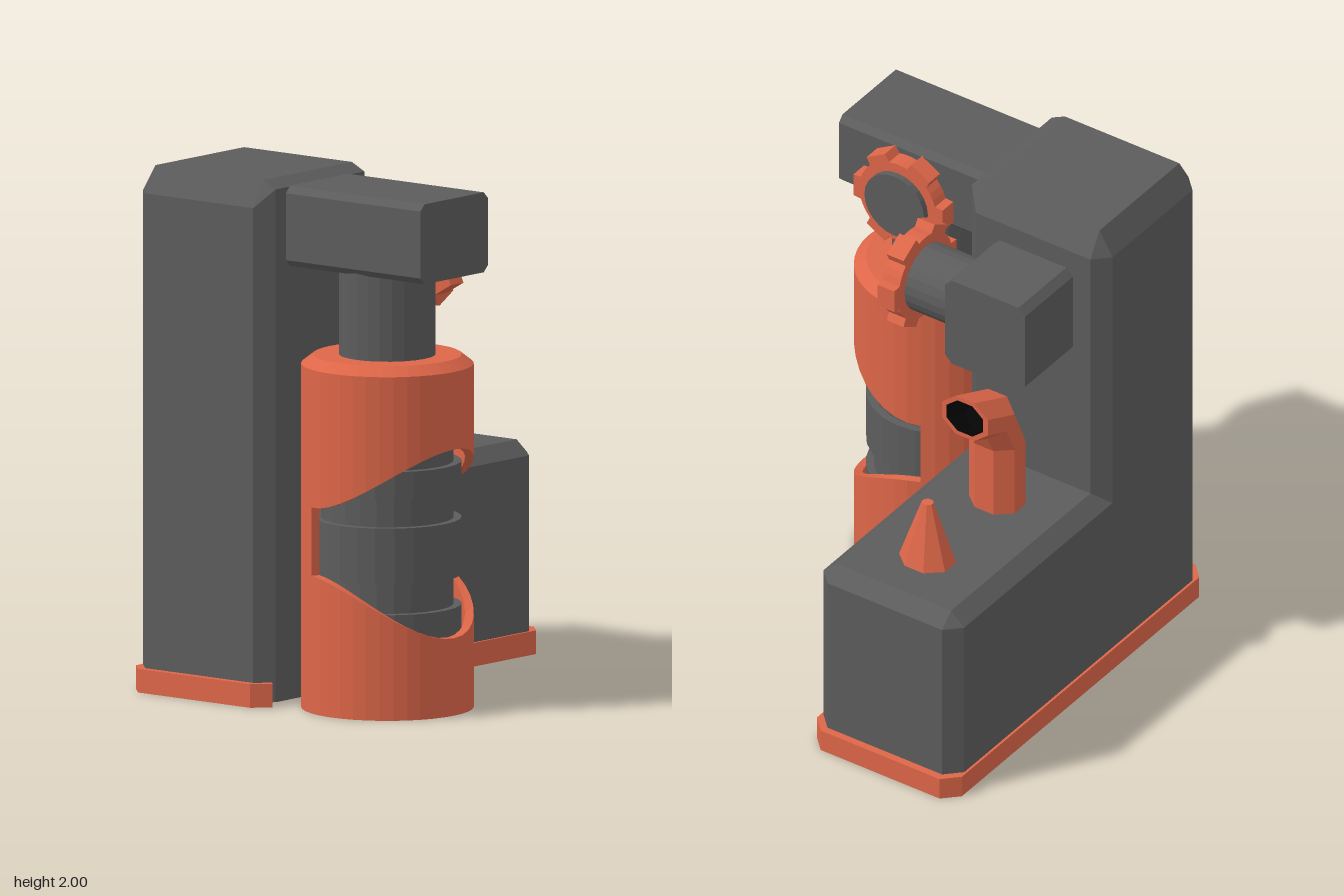
import * as THREE from 'three';

const mat = (color) => new THREE.MeshStandardMaterial({ color, flatShading: true, side: THREE.DoubleSide });
const GREY = mat(0x5c5c5c), ORANGE = mat(0xdd6648), DARK = mat(0x050505);

// Skin a list of equal-length rings of [x, y, z] points, with optional end caps
function loft(rings, capStart = true, capEnd = true) {
  const pos = [], n = rings[0].length, last = rings[rings.length - 1];
  for (let i = 0; i + 1 < rings.length; i++) {
    for (let k = 0; k < n; k++) {
      const a = rings[i][k], b = rings[i][(k + 1) % n];
      const c = rings[i + 1][(k + 1) % n], d = rings[i + 1][k];
      pos.push(...a, ...b, ...c, ...a, ...c, ...d);
    }
  }
  for (let k = 1; k + 1 < n; k++) {
    if (capStart) pos.push(...rings[0][0], ...rings[0][k + 1], ...rings[0][k]);
    if (capEnd) pos.push(...last[0], ...last[k], ...last[k + 1]);
  }
  const g = new THREE.BufferGeometry();
  g.setAttribute('position', new THREE.Float32BufferAttribute(pos, 3));
  g.computeVertexNormals();
  return g;
}

// Rectangle with cut corners, counterclockwise seen from above
const cutRect = (x0, x1, z0, z1, c) => [
  [x1, z1 - c], [x1, z0 + c], [x1 - c, z0], [x0 + c, z0],
  [x0, z0 + c], [x0, z1 - c], [x0 + c, z1], [x1 - c, z1]];

// Upright block with bevelled corners and top; the front bevel may start higher
function bevelBlock(x0, x1, z0, z1, bottom, shoulder, frontShoulder, top) {
  const c = 0.06, outer = cutRect(x0, x1, z0, z1, c);
  return loft([
    outer.map(([x, z]) => [x, bottom, z]),
    outer.map(([x, z]) => [x, z === z1 ? frontShoulder : shoulder, z]),
    cutRect(x0 + c, x1 - c, z0 + c, z1 - c, 0).map(([x, z]) => [x, top, z])]);
}

// Octagonal ring spanning from point a to point b in x/y, with half depth hz
function octRing([ax, ay], [bx, by], hz, z, s = 1) {
  return cutRect(-s, s, -s, s, 0.59 * s).map(([u, w]) => [
    (ax + bx) / 2 + u * (bx - ax) / 2, (ay + by) / 2 + u * (by - ay) / 2, z + w * hz]);
}

// Box with cut long edges, extruded along +z
function prism(w, h, c, depth) {
  const shape = new THREE.Shape(cutRect(-w / 2, w / 2, -h / 2, h / 2, c).map((p) => new THREE.Vector2(...p)));
  return new THREE.ExtrudeGeometry(shape, { depth, bevelEnabled: false });
}

// Six-toothed ring, extruded along +z
function gearGeometry(depth) {
  const pts = [], profile = [[-0.29, 0.177], [-0.23, 0.21], [0.23, 0.21], [0.29, 0.177], [0.44, 0.177], [0.6, 0.177]];
  for (let i = 0; i < 6; i++) {
    for (const [da, r] of profile) {
      const a = i * Math.PI / 3 + da;
      pts.push(new THREE.Vector2(r * Math.cos(a), r * Math.sin(a)));
    }
  }
  const shape = new THREE.Shape(pts);
  shape.holes.push(new THREE.Path().absarc(0, 0, 0.13, 0, Math.PI * 2, true));
  return new THREE.ExtrudeGeometry(shape, { depth, bevelEnabled: false, curveSegments: 12 });
}

export function createModel() {
  const model = new THREE.Group();
  const add = (name, geometry, material, x = 0, y = 0, z = 0, parent = model) => {
    const m = new THREE.Mesh(geometry, material);
    m.name = name;
    m.position.set(x, y, z);
    parent.add(m);
    return m;
  };

  // L-shaped body
  add('tower', bevelBlock(-0.81, -0.165, -0.645, 0, 0.015, 1.9, 1.97, 2), GREY);
  add('lowBody', bevelBlock(-0.81, 0.81, -0.645, 0, 0.015, 0.76, 0.76, 0.815), GREY);

  // Skirt around the foot, open where the barrel stands
  const path = [[-0.17, 0.01], [0.78, 0.01], [0.84, -0.05], [0.84, -0.595], [0.78, -0.655],
    [-0.78, -0.655], [-0.84, -0.595], [-0.84, -0.05], [-0.78, 0.01]];
  add('skirt', loft(path.map(([x, z]) => {
    const ix = x * 0.955, iz = -0.3225 + (z + 0.3225) * 0.9;
    return [[x, 0.09, z], [x, 0, z], [ix, 0, iz], [ix, 0.09, iz]];
  })), ORANGE);

  // Barrel with a wavy window cut in its front
  const cx = -0.49, cz = 0.33, R = 0.325, rIn = 0.292, midY = 0.655, edge = 1.95;
  const barrel = new THREE.Group();
  barrel.name = 'barrel';
  barrel.position.set(cx, 0, cz);
  model.add(barrel);
  const halfWindow = (t) => 0.13 + 0.115 * (1 + Math.cos(Math.PI * t / edge));
  const wall = (name, from, to, steps, lo, hi) => {
    const rings = [];
    for (let i = 0; i <= steps; i++) {
      const t = from + (to - from) * i / steps, s = Math.sin(t), c = Math.cos(t);
      rings.push([[R, hi(t)], [R, lo(t)], [rIn, lo(t)], [rIn, hi(t)]].map(([r, y]) => [r * s, y, r * c]));
    }
    add(name, loft(rings), ORANGE, 0, 0, 0, barrel);
  };
  wall('barrelLower', -edge, edge, 24, () => 0, (t) => midY - halfWindow(t));
  wall('barrelUpper', -edge, edge, 24, (t) => midY + halfWindow(t), () => 1.31);
  wall('barrelBack', edge, 2 * Math.PI - edge, 14, () => 0, () => 1.31);
  const lathe = (pts, seg) => new THREE.LatheGeometry(pts.map((p) => new THREE.Vector2(...p)), seg);
  add('barrelTop', lathe([[R, 1.31], [0.28, 1.345], [0.17, 1.345]], 40), ORANGE, 0, 0, 0, barrel);
  add('barrelBottomHole', new THREE.CircleGeometry(rIn, 40).rotateX(Math.PI / 2), DARK, 0, 0.01, 0, barrel);

  // Ribbed core seen through the window
  const core = [[0.25, 0.03], [0.25, 0.29], [0.28, 0.29], [0.28, 0.395], [0.25, 0.395], [0.25, 0.51], [0.28, 0.51],
    [0.28, 0.725], [0.25, 0.725], [0.25, 0.835], [0.28, 0.835], [0.28, 0.94], [0.25, 0.94], [0.25, 1.3]];
  add('core', lathe(core, 24), GREY, 0, 0, 0, barrel);
  add('post', new THREE.CylinderGeometry(0.182, 0.182, 0.4, 24), GREY, 0, 1.5, 0, barrel);

  // Overhead arm and side housing
  add('arm', prism(0.4, 0.305, 0.025, 0.675), GREY, -0.49, 1.82, -0.02);
  add('sideHousing', prism(0.365, 0.385, 0.03, 0.35), GREY, -0.2, 1.625, -0.322).rotation.y = Math.PI / 2;

  // Toothed wheels on their shafts, built along +z
  const wheel = (name, gearFrom, depth, shaftFrom, shaftTo) => {
    const g = new THREE.Group();
    g.name = name;
    const len = shaftTo - shaftFrom;
    add(name + 'Ring', gearGeometry(depth), ORANGE, 0, 0, gearFrom, g);
    add(name + 'Shaft', new THREE.CylinderGeometry(0.137, 0.137, len, 24).rotateX(Math.PI / 2),
      GREY, 0, 0, (shaftFrom + shaftTo) / 2, g);
    model.add(g);
    return g;
  };
  wheel('frontWheel', 0.07, 0.077, -0.16, 0.165).position.set(-0.02, 1.64, 0);
  const side = wheel('sideWheel', -0.295, 0.075, -0.31, -0.195);
  side.position.set(0, 1.75, 0.335);
  side.rotation.y = Math.PI / 2;

  // Bent octagonal pipe with an open mouth
  const bend = [[0.065, 1.31], [0.195, 1.19]], mouth = [[0.28, 1.405], [0.28, 1.23]];
  const ring = (span, s) => octRing(...span, 0.105, -0.32, s);
  add('pipe', loft([
    ring([[-0.02, 0.79], [0.155, 0.79]]), ring([[-0.02, 1.11], [0.155, 1.11]]),
    ring(bend), ring(mouth), ring(mouth, 0.8)], true, false), ORANGE);
  add('pipeMouth', loft([ring(mouth, 0.8), ring(bend, 0.8)], false, true), DARK);

  // Tapered octagonal spike
  add('spike', loft([
    octRing([0.432, 0.81], [0.616, 0.81], 0.107, -0.32),
    octRing([0.504, 1.075], [0.544, 1.075], 0.022, -0.32)]), ORANGE);

  return model;
}
